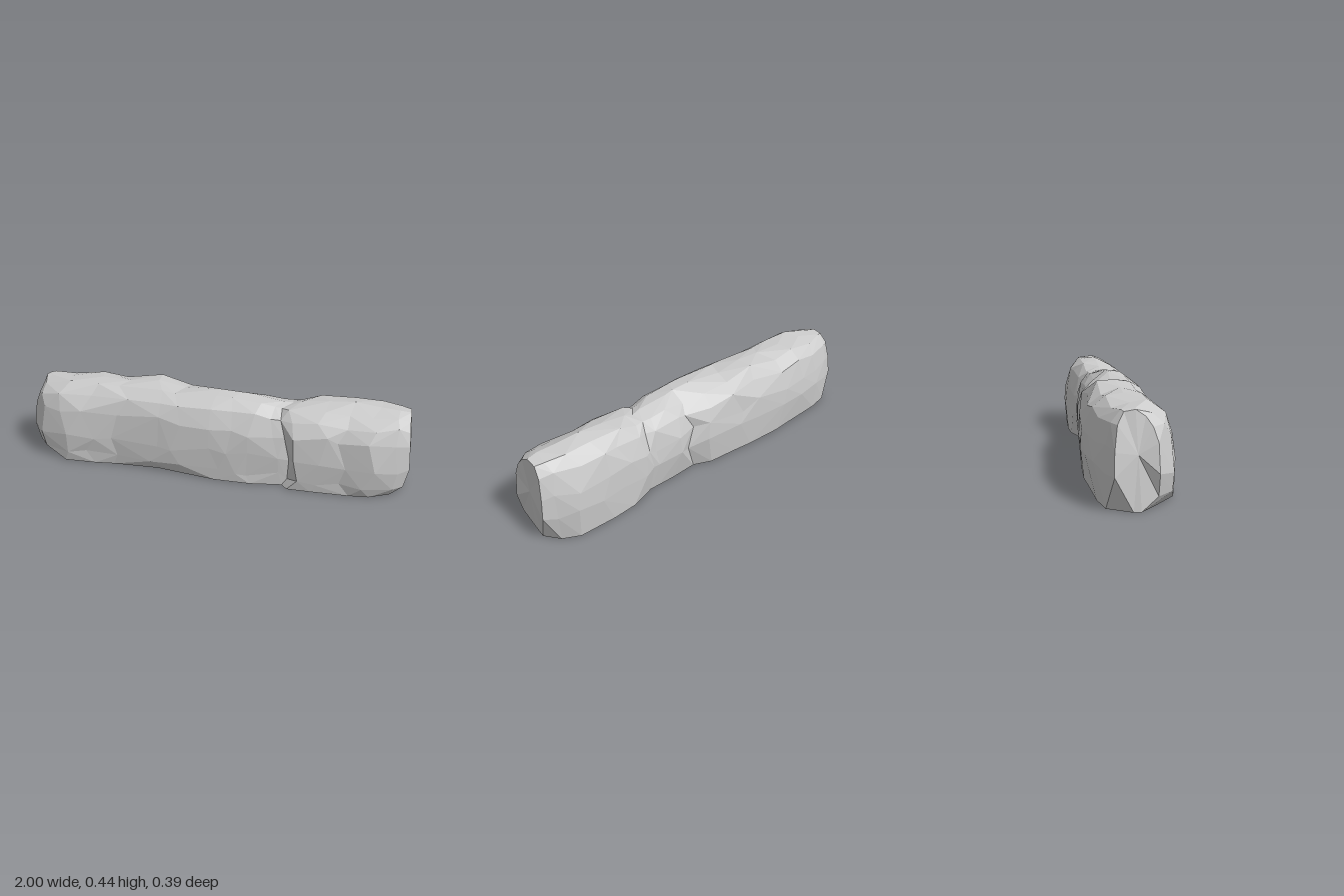
import * as THREE from 'three';

// Stations along the wall: x, front z, back z, top height, front base z, back base z,
// drop of the front shoulder, drop of the back shoulder
const STATIONS = [
  [-1.0, 0.085, -0.098, 0.408, 0.012, -0.02, 0.02, 0],
  [-0.92, 0.16, -0.132, 0.415, 0.09, -0.125, 0.015, 0],
  [-0.79, 0.193, -0.167, 0.415, 0.18, -0.15, -0.01, 0.015],
  [-0.64, 0.18, -0.187, 0.428, 0.17, -0.165, 0.005, 0.005],
  [-0.48, 0.168, -0.195, 0.42, 0.155, -0.175, 0, 0.01],
  [-0.28, 0.18, -0.19, 0.437, 0.14, -0.17, 0.005, 0],
  [-0.17, 0.188, -0.185, 0.418, 0.155, -0.16, 0, 0.01],
  [0.03, 0.185, -0.172, 0.43, 0.18, -0.15, 0, 0.035],
  [0.12, 0.183, -0.13, 0.425, 0.178, -0.11, 0, 0.04],
  [0.22, 0.178, -0.155, 0.415, 0.174, -0.12, 0, 0.015],
  [0.35, 0.157, -0.15, 0.402, 0.155, -0.12, 0, 0.015],
  [0.39, 0.147, -0.149, 0.398, 0.145, -0.12, 0, 0.015],
  [0.44, 0.19, -0.163, 0.405, 0.178, -0.14, 0.01, 0.01],
  [0.56, 0.182, -0.177, 0.425, 0.175, -0.165, 0.02, 0],
  [0.68, 0.174, -0.189, 0.43, 0.165, -0.175, 0.03, 0],
  [0.81, 0.185, -0.189, 0.424, 0.152, -0.172, 0.025, 0],
  [0.93, 0.14, -0.148, 0.42, 0.1, -0.13, 0.01, 0],
  [0.985, 0.105, -0.118, 0.41, 0.025, -0.055, 0.02, 0],
];

// Cross-section from front base over the top to back base:
// side, width share, height share, lean of the front cleft
const PROFILE = [
  [1, 1, 0, -0.02], [1, 0.99, 0.14, 0.01], [1, 1, 0.38, 0.01], [1, 0.96, 0.68, -0.015],
  [1, 0.73, 0.88, -0.035], [1, 0.4, 0.98, -0.035],
  [-1, 0.08, 1, 0], [-1, 0.56, 0.98, 0], [-1, 0.84, 0.86, 0], [-1, 0.98, 0.6, 0],
  [-1, 1, 0.36, 0], [-1, 1, 0, 0],
];

// Slant of each end face along the profile
const LEFT_SLANT = [0.01, 0.03, 0.005, 0.025, 0.045, 0.06, 0.06, 0.06, 0.04, 0.015, 0, 0.01];
const RIGHT_SLANT = [-0.02, -0.01, 0.01, 0, -0.005, -0.01, -0.01, -0.01, -0.005, 0.005, 0.012, -0.01];

// Chipped hollows: station, profile row, depth
const HOLLOWS = [[2, 3, 0.01], [3, 4, 0.012], [9, 8, 0.01], [11, 8, 0.015], [5, 8, 0.01]];

function seeded(seed) {
  return () => {
    seed = (seed * 16807) % 2147483647;
    return (seed / 2147483647) * 2 - 1;
  };
}

// One chipped ring of points at a station
function ring(i, rand) {
  const [x, front, back, top, baseFront, baseBack, dropFront, dropBack] = STATIONS[i];
  const last = STATIONS.length - 1;
  const end = i === 0 || i === last;
  const cleft = i >= 10 && i <= 12;
  const gap = end ? 0 : Math.min(x - STATIONS[i - 1][0], STATIONS[i + 1][0] - x);
  return PROFILE.map(([side, w, h, lean], j) => {
    const ground = h === 0;
    const half = side > 0 ? (ground ? baseFront : front) : (ground ? baseBack : back);
    const p = new THREE.Vector3(x, top * h, half * w);
    const rx = rand(), ry = rand(), rz = rand();
    p.x += rx * gap * 0.32 + (cleft ? lean : 0);
    // Shoulders fall away beside the crest
    if (h > 0.8 && h < 1) p.y -= side > 0 ? dropFront : dropBack;
    if (!ground && !end) {
      p.y += ry * (h > 0.8 ? 0.006 : 0.02);
      p.z -= side * Math.abs(rz) * (h < 0.5 ? 0.006 : 0.012);
    }
    if (i === 0) p.x += LEFT_SLANT[j];
    if (i === last) p.x += RIGHT_SLANT[j];
    return p;
  });
}

function stoneGeometry() {
  const rand = seeded(4127);
  const rings = STATIONS.map((_, i) => ring(i, rand));
  HOLLOWS.forEach(([i, j, depth]) => { rings[i][j].z -= PROFILE[j][0] * depth; });
  const n = PROFILE.length;
  const positions = [];
  const tri = (...pts) => pts.forEach((p) => positions.push(p.x, p.y, p.z));

  // Skin, splitting each quad along its outward-bulging diagonal
  for (let i = 0; i < rings.length - 1; i++) {
    for (let j = 0; j < n; j++) {
      const k = (j + 1) % n;
      const a = rings[i][j], b = rings[i + 1][j], c = rings[i + 1][k], d = rings[i][k];
      const normal = b.clone().sub(a).cross(c.clone().sub(a));
      if (normal.dot(d.clone().sub(a)) <= 0) {
        tri(a, b, c);
        tri(a, c, d);
      } else {
        tri(a, b, d);
        tri(b, c, d);
      }
    }
  }

  // Broad faceted ends
  [rings[0], rings[rings.length - 1]].forEach((r, e) => {
    const centre = new THREE.Vector3();
    r.forEach((p) => centre.addScaledVector(p, 1 / n));
    r.forEach((p, j) => {
      const q = r[(j + 1) % n];
      if (e === 0) tri(centre, p, q);
      else tri(centre, q, p);
    });
  });

  const geometry = new THREE.BufferGeometry();
  geometry.setAttribute('position', new THREE.Float32BufferAttribute(positions, 3));
  geometry.computeVertexNormals();
  return geometry;
}

export function createModel() {
  const group = new THREE.Group();
  group.name = 'rockWall';
  const material = new THREE.MeshStandardMaterial({ color: 0xcccccc, flatShading: true });
  const stone = new THREE.Mesh(stoneGeometry(), material);
  stone.name = 'stoneBody';
  group.add(stone);
  return group;
}
